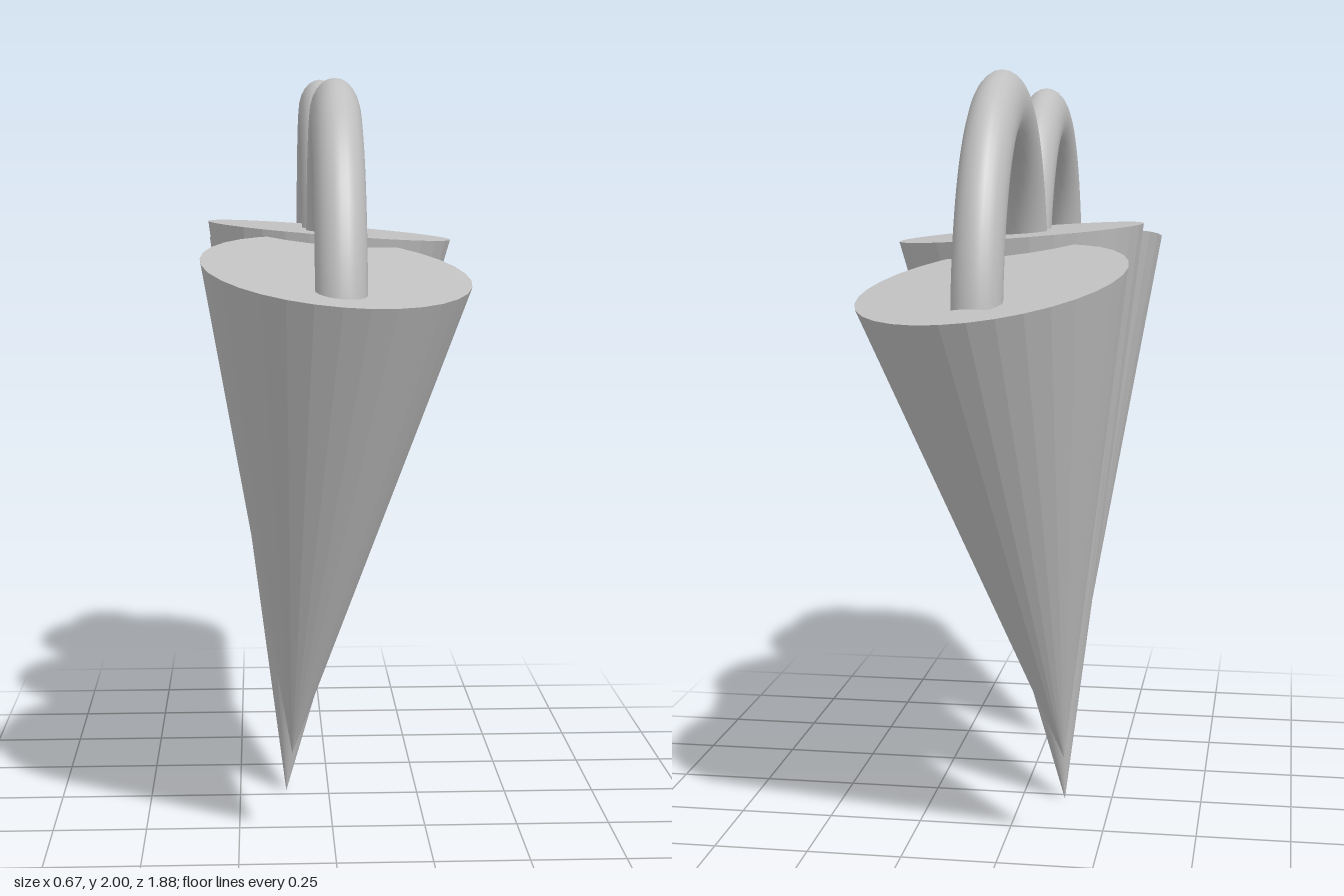
import * as THREE from 'three';

export function createModel() {
  const model = new THREE.Group();
  const coneGrey = new THREE.MeshStandardMaterial({ color: 0xc0c0c0, flatShading: true });
  coneGrey.name = 'grey faceted';
  const grey = new THREE.MeshStandardMaterial({ color: 0xc0c0c0 });
  grey.name = 'grey';

  // Inverted cone between a top centre and a tip, with an oval rim square to its axis
  function addCone(name, top, tip, halfX, halfZ) {
    const t = new THREE.Vector3(...top), p = new THREE.Vector3(...tip);
    const axis = t.clone().sub(p);
    const u = new THREE.Vector3(halfX, -halfX * axis.x / axis.y, 0);
    const w = new THREE.Vector3(0, -halfZ * axis.z / axis.y, halfZ);
    const geometry = new THREE.ConeGeometry(1, 1, 32);
    geometry.rotateX(Math.PI).translate(0, 0.5, 0);
    geometry.applyMatrix4(new THREE.Matrix4().makeBasis(u, axis, w).setPosition(p));
    const mesh = new THREE.Mesh(geometry, coneGrey);
    mesh.name = name;
    model.add(mesh);
  }
  addCone('frontCone', [-0.005, 1.52, 0.56], [-0.11, 0.25, 0.37], 0.325, 0.38);
  addCone('middleCone', [0.003, 1.587, -0.03], [-0.12, 0, -0.03], 0.327, 0.312);
  addCone('backCone', [-0.01, 1.5, -0.595], [-0.16, 0.25, -0.38], 0.325, 0.35);

  // Arched handle: part of a torus stretched upward, its ends sunk into the cones
  function addHandle(name, x, y, z) {
    const start = 0.14;
    const geometry = new THREE.TorusGeometry(0.387, 0.06, 24, 48, Math.PI - 2 * start);
    geometry.rotateZ(start).rotateY(Math.PI / 2).scale(1, 1.4, 1).translate(x, y, z);
    const mesh = new THREE.Mesh(geometry, grey);
    mesh.name = name;
    model.add(mesh);
  }
  addHandle('frontHandle', -0.003, 1.348, 0.425);
  addHandle('backHandle', -0.01, 1.374, -0.42);

  return model;
}
